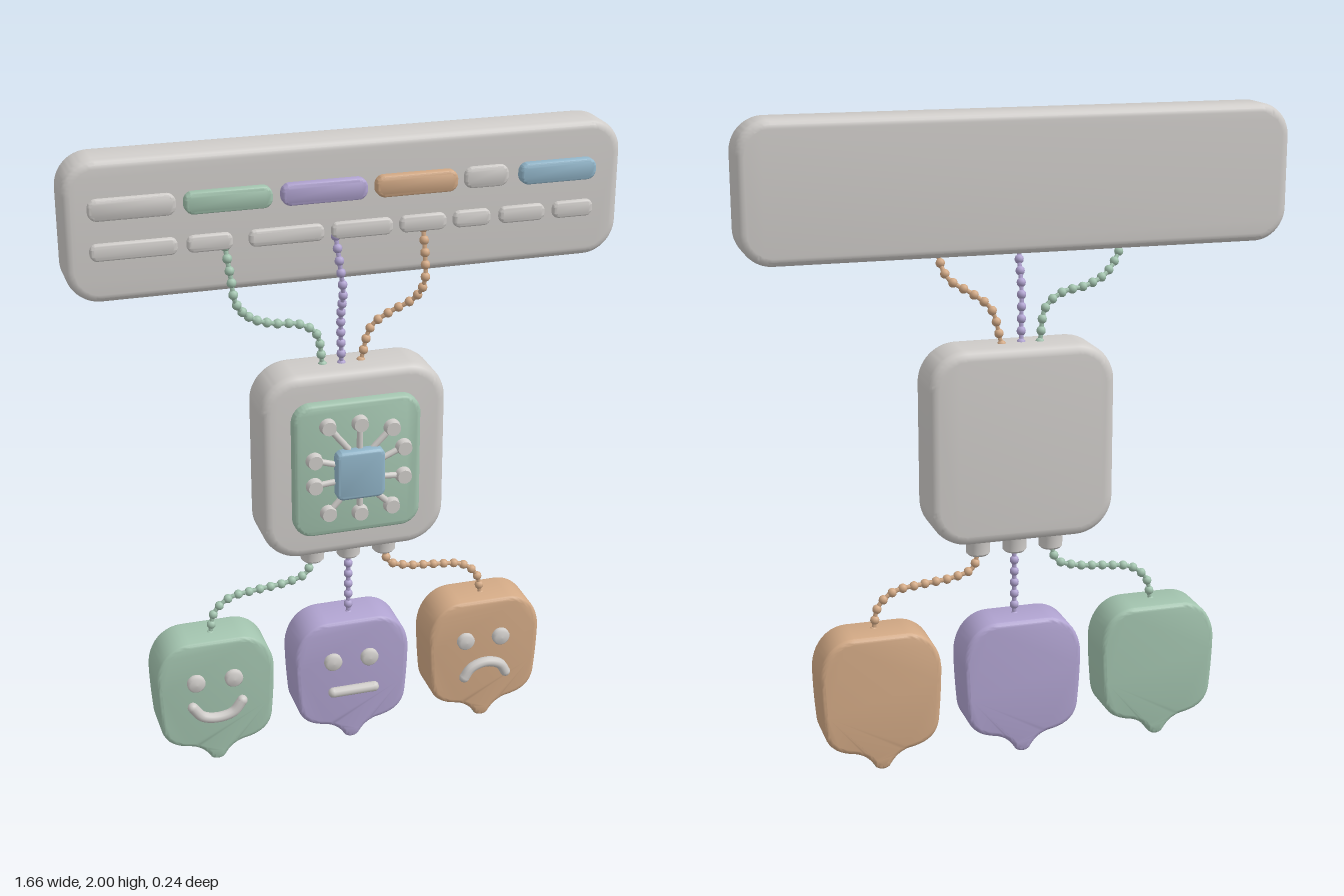
import * as THREE from 'three';
import { toCreasedNormals } from 'three/addons/utils/BufferGeometryUtils.js';

const material = (name, color, rest) => new THREE.MeshStandardMaterial({ name, color, ...rest });

// Rounded rectangle outline, centred on (0, 0)
function roundedRect(w, h, r) {
  const s = new THREE.Shape(), x = w / 2, y = h / 2;
  s.moveTo(-x + r, -y);
  s.lineTo(x - r, -y); s.absarc(x - r, -y + r, r, -Math.PI / 2, 0);
  s.lineTo(x, y - r); s.absarc(x - r, y - r, r, 0, Math.PI / 2);
  s.lineTo(-x + r, y); s.absarc(-x + r, y - r, r, Math.PI / 2, Math.PI);
  s.lineTo(-x, -y + r); s.absarc(-x + r, -y + r, r, Math.PI, Math.PI * 1.5);
  return s;
}

// Speech bubble outline with a rounded tail at the bottom, tip at y = 0
function bubbleShape() {
  const s = new THREE.Shape(), w = 0.19, top = 0.44, low = 0.06;
  s.moveTo(0.022, 0.008);
  s.quadraticCurveTo(0.045, 0.05, 0.085, low);
  s.bezierCurveTo(0.15, 0.07, 0.18, 0.1, 0.182, 0.16);
  s.quadraticCurveTo(w, 0.25, w, 0.32);
  s.bezierCurveTo(w - 0.005, 0.39, 0.14, top, 0.08, top);
  s.lineTo(-0.08, top);
  s.bezierCurveTo(-0.14, top, -w + 0.005, 0.39, -w, 0.32);
  s.quadraticCurveTo(-w, 0.25, -0.182, 0.16);
  s.bezierCurveTo(-0.18, 0.1, -0.15, 0.07, -0.085, low);
  s.quadraticCurveTo(-0.045, 0.05, -0.022, 0.008);
  s.quadraticCurveTo(0, -0.008, 0.022, 0.008);
  return s;
}

// Soft-edged slab of an outline between z0 and z1
function slab(shape, z0, z1, bevel) {
  const g = new THREE.ExtrudeGeometry(shape, {
    depth: z1 - z0 - 2 * bevel, bevelEnabled: true, bevelThickness: bevel,
    bevelSize: bevel, bevelOffset: -bevel, bevelSegments: 4, curveSegments: 10,
  });
  g.translate(0, 0, z0 + bevel);
  return toCreasedNormals(g, 0.7);
}

export function createModel() {
  const model = new THREE.Group();
  model.name = 'moodDiagram';
  const grey = material('lightGrey', 0xcfccc9);
  const green = material('sageGreen', 0xa2c3ae);
  const purple = material('lavender', 0xb0a3d0);
  const orange = material('apricot', 0xd2a985);
  const blue = material('skyBlue', 0x93b7cb);

  const add = (parent, name, geometry, mat, x = 0, y = 0, z = 0) => {
    const m = new THREE.Mesh(geometry, mat);
    m.name = name;
    m.position.set(x, y, z);
    parent.add(m);
    return m;
  };
  const group = (name, x = 0) => {
    const g = new THREE.Group();
    g.name = name;
    g.position.x = x;
    model.add(g);
    return g;
  };

  // Upper panel with two rows of pills
  const panel = group('textPanel');
  add(panel, 'panelBody', slab(roundedRect(1.664, 0.415, 0.1), -0.12, 0.02, 0.025), grey, 0, 1.7925);
  const pill = (x0, x1, y, h, z, mat) =>
    add(panel, 'pill', slab(roundedRect(x1 - x0, h, h * 0.42), 0, z, 0.01), mat, (x0 + x1) / 2, y);
  [[-0.762, -0.513, grey], [-0.492, -0.238, green], [-0.212, 0.042, purple],
    [0.067, 0.315, orange], [0.339, 0.476, grey], [0.508, 0.746, blue]]
    .forEach(([a, b, m]) => pill(a, b, 1.86, 0.064, m === grey ? 0.035 : 0.047, m));
  [[-0.762, -0.513], [-0.487, -0.354], [-0.307, -0.085], [-0.063, 0.122],
    [0.143, 0.286], [0.307, 0.423], [0.45, 0.593], [0.619, 0.746]]
    .forEach(([a, b]) => pill(a, b, 1.738, 0.05, 0.036, grey));

  // Processor block: housing, board, chip
  const processor = group('processor');
  add(processor, 'housing', slab(roundedRect(0.58, 0.605, 0.12), -0.12, 0.052, 0.03), grey, 0, 1.0025);
  add(processor, 'board', slab(roundedRect(0.4, 0.435, 0.06), 0.03, 0.085, 0.015), green, 0, 1.004);
  add(processor, 'chip', slab(roundedRect(0.152, 0.158, 0.022), 0.07, 0.12, 0.01), blue, 0.001, 0.993);

  // Circuit nodes and the traces leading to the chip
  const nodeGeometry = new THREE.CylinderGeometry(0.022, 0.028, 0.03, 18).rotateX(Math.PI / 2);
  [[-0.095, 1.152, -0.03, 1.07], [0.005, 1.152, 0.005, 1.07], [0.106, 1.126, 0.04, 1.06],
    [0.143, 1.057, 0.07, 1.025], [0.143, 0.962, 0.07, 0.968], [0.106, 0.866, 0.045, 0.925],
    [0.005, 0.856, 0.005, 0.92], [-0.095, 0.866, -0.04, 0.925], [-0.138, 0.962, -0.07, 0.968],
    [-0.138, 1.046, -0.07, 1.025]].forEach(([x, y, cx, cy]) => {
    add(processor, 'circuitNode', nodeGeometry, grey, x, y, 0.092);
    const trace = new THREE.LineCurve3(new THREE.Vector3(x, y, 0.087), new THREE.Vector3(cx, cy, 0.087));
    add(processor, 'circuitTrace', new THREE.TubeGeometry(trace, 1, 0.01, 8), grey);
  });

  // Sockets under the housing
  const socketProfile = [[0, 0.645], [0.03, 0.645], [0.037, 0.652], [0.037, 0.685], [0.042, 0.71], [0, 0.71]]
    .map(([r, y]) => new THREE.Vector2(r, y));
  const socketGeometry = toCreasedNormals(new THREE.LatheGeometry(socketProfile, 20), 0.6);
  [-0.112, 0.005, 0.122].forEach((x) => add(processor, 'socket', socketGeometry, grey, x, 0, -0.037));

  // Beaded cords: thin thread with evenly spaced beads
  const beadGeometry = new THREE.SphereGeometry(0.0145, 10, 8);
  const cord = (name, mat, points) => {
    const g = group(name);
    const curve = new THREE.CatmullRomCurve3(points.map((p) => new THREE.Vector3(...p)));
    add(g, 'thread', new THREE.TubeGeometry(curve, 40, 0.007, 6), mat);
    const n = Math.round(curve.getLength() / 0.036);
    curve.getSpacedPoints(n).forEach((p) => add(g, 'bead', beadGeometry, mat, p.x, p.y, p.z));
  };
  cord('upperCordGreen', green, [[-0.376, 1.72, 0.02], [-0.367, 1.635, 0.04], [-0.355, 1.555, 0.045],
    [-0.3, 1.49, 0.01], [-0.23, 1.46, -0.01], [-0.15, 1.445, -0.02], [-0.095, 1.405, -0.03], [-0.075, 1.3, -0.037]]);
  cord('upperCordPurple', purple, [[-0.049, 1.72, 0.02], [-0.042, 1.635, 0.04], [-0.033, 1.555, 0.04],
    [-0.028, 1.47, 0], [-0.018, 1.3, -0.03]]);
  cord('upperCordOrange', orange, [[0.217, 1.72, 0.02], [0.218, 1.635, 0.04], [0.215, 1.56, 0.045],
    [0.195, 1.5, 0.01], [0.127, 1.455, -0.015], [0.075, 1.41, -0.03], [0.045, 1.3, -0.037]]);
  const side = [[0.122, 0.65], [0.14, 0.6], [0.2, 0.577], [0.3, 0.565], [0.39, 0.55], [0.44, 0.505], [0.455, 0.43]];
  cord('lowerCordOrange', orange, side.map(([x, y]) => [x, y, -0.037]));
  cord('lowerCordGreen', green, side.map(([x, y]) => [0.007 - x, y, -0.037]));
  cord('lowerCordPurple', purple, [[0.005, 0.65, -0.037], [0.005, 0.54, -0.037], [0.005, 0.43, -0.037]]);

  // Face bubbles with eyes and a mouth
  const bubbleGeometry = slab(bubbleShape(), -0.12, 0.028, 0.016);
  const eyeProfile = [[0.029, 0], [0.029, 0.014], [0.022, 0.022], [0, 0.024]].map(([r, y]) => new THREE.Vector2(r, y));
  const eyeGeometry = new THREE.LatheGeometry(eyeProfile, 20).rotateX(Math.PI / 2);
  const face = (name, x, mat, mouth) => {
    const g = group(name, x);
    add(g, 'bubble', bubbleGeometry, mat);
    [-0.066, 0.055].forEach((ex) => add(g, 'eye', eyeGeometry, grey, ex, 0.301, 0.026));
    const curve = new THREE.CatmullRomCurve3(mouth.map(([mx, my]) => new THREE.Vector3(mx, my, 0.035)));
    add(g, 'mouth', new THREE.TubeGeometry(curve, 24, 0.017, 10), grey);
    const cap = new THREE.SphereGeometry(0.017, 12, 8);
    [mouth[0], mouth[mouth.length - 1]].forEach(([mx, my]) => add(g, 'mouthEnd', cap, grey, mx, my, 0.035));
    return g;
  };
  face('happyBubble', -0.447, green, [[-0.08, 0.215], [-0.05, 0.178], [0, 0.166], [0.05, 0.178], [0.08, 0.215]]);
  face('neutralBubble', 0, purple, [[-0.066, 0.188], [0, 0.188], [0.07, 0.188]]);
  const sad = face('sadBubble', 0.45, orange,
    [[-0.068, 0.165], [-0.045, 0.197], [0.006, 0.213], [0.055, 0.197], [0.075, 0.165]]);

  // The sad bubble has a green underside
  const underside = bubbleGeometry.clone();
  underside.clearGroups();
  const p = underside.attributes.position, v = [0, 1, 2].map(() => new THREE.Vector3());
  const tri = new THREE.Triangle(...v), n = new THREE.Vector3();
  for (let i = 0; i < p.count; i += 3) {
    v.forEach((c, k) => c.fromBufferAttribute(p, i + k));
    tri.set(...v).getNormal(n);
    const low = Math.max(v[0].y, v[1].y, v[2].y) < 0.1;
    underside.addGroup(i, 3, low && Math.abs(n.z) < 0.5 ? 1 : 0);
  }
  sad.children[0].geometry = underside;
  sad.children[0].material = [orange, green];

  return model;
}
